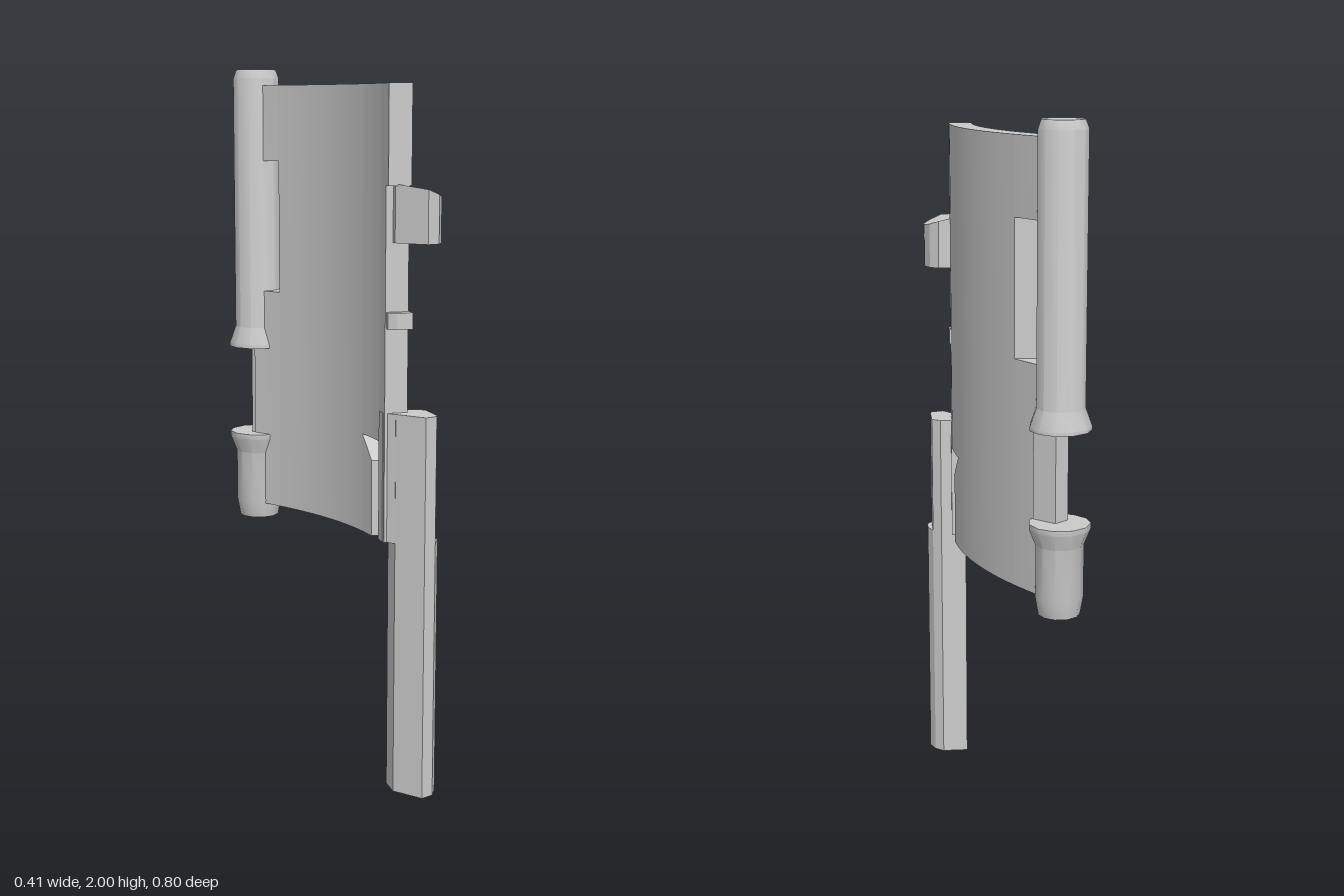
import * as THREE from 'three';
import { toCreasedNormals } from 'three/addons/utils/BufferGeometryUtils.js';

const material = new THREE.MeshStandardMaterial({ color: 0xcccccc });

// Plan curves of the bowed plate: x of each face at a given z
const outerX = (z) => 0.082 + 0.343 * z - 0.609 * z * z;
const innerX = (z) => 0.013 + 0.372 * z - 0.662 * z * z;

// Piece of the plate from z0 to z1; the top may slope from topA to topB
function plateGeometry(z0, z1, bottom, topA, topB = topA) {
  const n = Math.max(1, Math.round((z1 - z0) / 0.04));
  const pos = [], idx = [];
  for (let i = 0; i <= n; i++) {
    const t = i / n, z = z0 + (z1 - z0) * t, top = topA + (topB - topA) * t;
    const o = outerX(z), q = innerX(z);
    pos.push(o, bottom, z, o, top, z, q, top, z, q, bottom, z);
    if (i === n) break;
    for (let k = 0; k < 4; k++) {
      const a = i * 4 + k, b = i * 4 + (k + 1) % 4;
      idx.push(a, b, b + 4, a, b + 4, a + 4);
    }
  }
  const e = n * 4;
  idx.push(0, 2, 1, 0, 3, 2, e, e + 1, e + 2, e, e + 2, e + 3);
  const g = new THREE.BufferGeometry();
  g.setAttribute('position', new THREE.Float32BufferAttribute(pos, 3));
  g.setIndex(idx);
  return toCreasedNormals(g, 0.6);
}

// Upright prism from [x, z] plan points
function prism(points, y0, y1) {
  const shape = new THREE.Shape(points.map(([x, z]) => new THREE.Vector2(x, -z)));
  const g = new THREE.ExtrudeGeometry(shape, { depth: y1 - y0, bevelEnabled: false });
  g.rotateX(-Math.PI / 2);
  g.translate(0, y0, 0);
  return g;
}

// Turned pin on the hinge axis from [radius, y] points, bottom to top
function pin(profile) {
  const g = new THREE.LatheGeometry(profile.map(([r, y]) => new THREE.Vector2(r, y)), 11);
  g.deleteAttribute('normal');
  g.deleteAttribute('uv');
  g.translate(-0.123, 0, -0.315);
  return toCreasedNormals(g, 0.65);
}

export function createModel() {
  const model = new THREE.Group();
  const add = (name, geometry, parent = model) => {
    const mesh = new THREE.Mesh(geometry, material);
    mesh.name = name;
    parent.add(mesh);
  };

  // Bowed plate, with a window beside the hinge and a notch at the lower front
  const plate = new THREE.Group();
  plate.name = 'curvedPlate';
  model.add(plate);
  [
    [-0.28, -0.2, 0.715, 1.36],
    [-0.28, -0.2, 1.74, 1.955],
    [-0.2, 0.15, 0.715, 1.955],
    [0.15, 0.21, 0.715, 0.995, 0.93],
    [0.15, 0.265, 0.995, 1.955],
    [0.265, 0.308, 0.72, 1.955],
    [0.308, 0.33, 1.69, 1.955],
  ].forEach((s, i) => add('plateSection' + (i + 1), plateGeometry(...s), plate));

  // Hinge: two flared pins and the bare post between them
  add('upperHingePin', pin([[0, 1.19], [0.085, 1.19], [0.085, 1.2], [0.067, 1.25],
    [0.067, 1.975], [0.058, 2], [0, 2]]));
  add('lowerHingePin', pin([[0, 0.67], [0.058, 0.67], [0.067, 0.72], [0.067, 0.87],
    [0.085, 0.915], [0.085, 0.93], [0, 0.93]]));
  add('hingePost', prism([[-0.102, -0.225], [-0.148, -0.295], [-0.11, -0.325], [-0.055, -0.275]], 0.9, 1.22));

  // Front rod with one flat side, trimmed on its upper half
  add('lowerRod', prism([[0.09, 0.27], [0.09, 0.328], [0.15, 0.4], [0.185, 0.388], [0.204, 0.355],
    [0.204, 0.32], [0.19, 0.288], [0.165, 0.27]], 0, 0.73));
  add('upperRod', prism([[0.09, 0.27], [0.09, 0.328], [0.15, 0.4], [0.185, 0.388], [0.19, 0.378],
    [0.19, 0.288], [0.165, 0.27]], 0.73, 1.08));
  // Flange joining the rod to the plate
  add('rodFlange', prism([[0.063, 0.265], [0.063, 0.297], [0.1, 0.338], [0.133, 0.33], [0.133, 0.262]], 0.72, 1.08));

  // Latch lug with a sloping top
  const lug = prism([[0.085, 0.27], [0.085, 0.325], [0.15, 0.4], [0.185, 0.388], [0.204, 0.355],
    [0.204, 0.32], [0.19, 0.288], [0.165, 0.27]], 1.54, 1.695);
  const p = lug.attributes.position;
  for (let i = 0; i < p.count; i++) {
    if (p.getY(i) > 1.6) p.setY(i, 1.695 - Math.max(0, p.getX(i) - 0.12) * 0.4);
  }
  lug.computeVertexNormals();
  add('latchLug', lug);

  // Small stop on the front edge
  add('edgeStop', prism([[0.068, 0.29], [0.068, 0.32], [0.09, 0.335], [0.134, 0.335], [0.134, 0.29]], 1.31, 1.355));
  return model;
}
